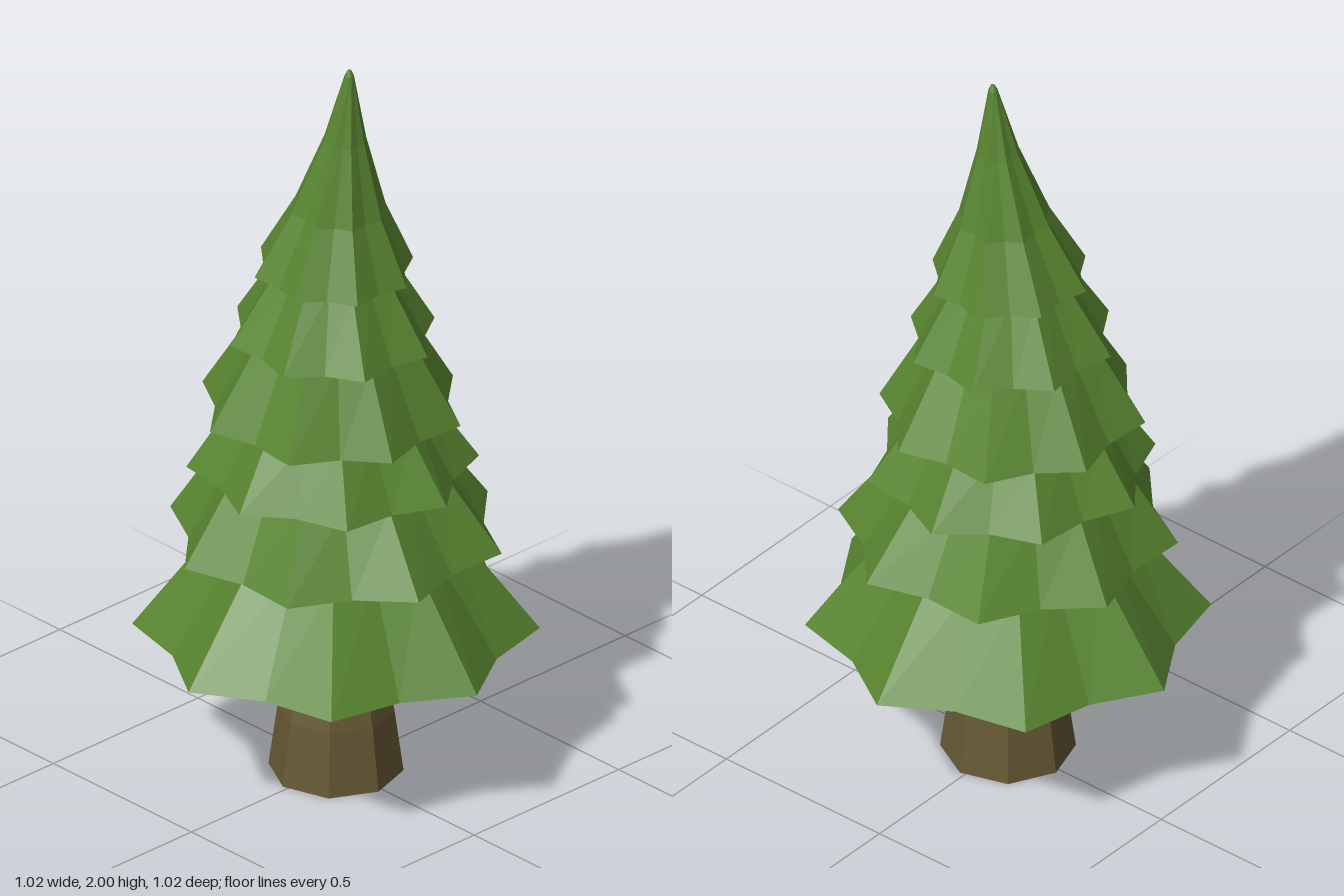
import * as THREE from 'three';

const RAD = Math.PI / 180;

// Joins closed rings of points (bottom to top) into a flat-shaded skin.
function skin(rings, capStart, capEnd) {
  const n = rings[0].length;
  const points = rings.flat();
  const index = [];
  for (let i = 0; i < rings.length - 1; i++) {
    for (let j = 0; j < n; j++) {
      const k = (j + 1) % n;
      const a = i * n + j, b = i * n + k, c = a + n, d = b + n;
      index.push(a, c, b, b, c, d);
    }
  }
  const last = (rings.length - 1) * n;
  for (let j = 1; j < n - 1; j++) {
    if (capStart) index.push(0, j, j + 1);
    if (capEnd) index.push(last, last + j + 1, last + j);
  }
  const indexed = new THREE.BufferGeometry().setFromPoints(points);
  indexed.setIndex(index);
  const geometry = indexed.toNonIndexed();
  geometry.computeVertexNormals();
  return geometry;
}

// Ring whose radius alternates between tips and notches, tilted slightly towards +x.
function starRing({ y, r, turn = 0, notch = 1, cx = 0, cz = 0, tilt = 0, sides = 16 }) {
  return Array.from({ length: sides }, (_, i) => {
    const a = turn * RAD + (i / sides) * Math.PI * 2;
    const radius = i % 2 ? r * notch : r;
    const x = Math.cos(a) * radius;
    return new THREE.Vector3(cx + x, y - x * tilt, cz + Math.sin(a) * radius);
  });
}

export function createModel() {
  const tree = new THREE.Group();
  tree.name = 'pineTree';

  // Trunk: eight-sided, flared at the foot, running up inside the foliage
  const trunkRings = [
    { y: 0, r: 0.17 },
    { y: 0.17, r: 0.147 },
    { y: 0.38, r: 0.098 },
    { y: 0.8, r: 0.08 },
  ].map((p) => starRing({ ...p, turn: 5, sides: 8 }));
  const trunk = new THREE.Mesh(
    skin(trunkRings, true, true),
    new THREE.MeshStandardMaterial({ color: 0x655833, flatShading: true })
  );
  trunk.name = 'trunk';
  tree.add(trunk);

  // Foliage tiers: rim height, rim radius, top radius, turn of the eight tips, centre and tilt
  const tiers = [
    { y: 0.4, r: 0.51, top: 0.3, turn: 0, cx: 0, cz: 0, tilt: 0 },
    { y: 0.672, r: 0.432, top: 0.295, turn: 15, cx: 0, cz: 0, tilt: 0.006 },
    { y: 0.867, r: 0.368, top: 0.255, turn: -7, cx: -0.007, cz: 0.005, tilt: 0.015 },
    { y: 1.032, r: 0.34, top: 0.215, turn: 17, cx: -0.006, cz: 0.01, tilt: 0.02 },
    { y: 1.243, r: 0.268, top: 0.155, turn: 26, cx: 0.005, cz: 0.017, tilt: 0.025 },
    { y: 1.428, r: 0.207, turn: 27, cx: 0.01, cz: 0.017, tilt: 0.03 },
  ];
  const rings = [];
  tiers.forEach((tier, i) => {
    rings.push(starRing({ ...tier, notch: 0.86 }));
    const next = tiers[i + 1];
    if (next) {
      rings.push(starRing({ ...next, y: next.y + 0.004, r: tier.top, turn: tier.turn, notch: 0.88 }));
    }
  });

  // Crown: narrows in a concave sweep to a leaning tip
  rings.push(
    starRing({ y: 1.6, r: 0.122, turn: 27, notch: 0.86, cx: 0.023, cz: 0.013, tilt: 0.04 }),
    starRing({ y: 1.8, r: 0.056, turn: 27, notch: 0.88, cx: 0.04, cz: 0.008, tilt: 0.05 }),
    starRing({ y: 1.985, r: 0.012, turn: 27, cx: 0.053, cz: 0.005 }),
    starRing({ y: 2, r: 0.005, turn: 27, cx: 0.054, cz: 0.005 })
  );
  const foliage = new THREE.Mesh(
    skin(rings, false, true),
    new THREE.MeshStandardMaterial({ color: 0x588530, flatShading: true, side: THREE.DoubleSide })
  );
  foliage.name = 'foliage';
  tree.add(foliage);

  return tree;
}
